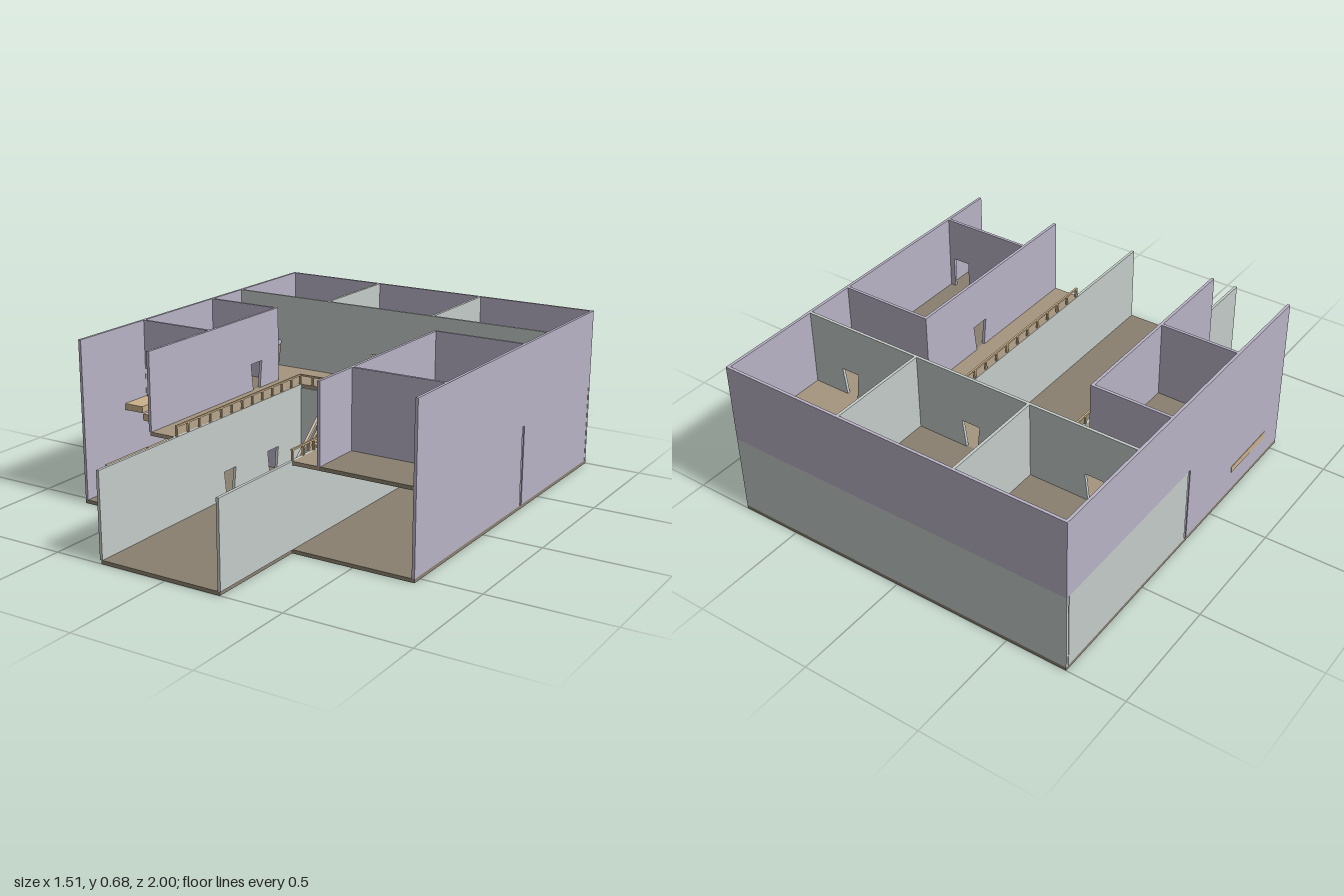
import * as THREE from 'three';

const mat = (color) => new THREE.MeshStandardMaterial({ color });
const T = 0.012; // wall thickness

export function createModel() {
  const root = new THREE.Group();
  const lilac = mat(0xb9b3c6), sage = mat(0xc4ccc9), dark = mat(0x89806f);
  const tan = mat(0xa5957f), wood = mat(0xc9b08a), pale = mat(0xd6c8b2);

  const group = (name) => {
    const g = new THREE.Group();
    g.name = name;
    root.add(g);
    return g;
  };

  // box given by its limits on each axis
  function box(parent, name, m, x0, x1, y0, y1, z0, z1) {
    const mesh = new THREE.Mesh(new THREE.BoxGeometry(x1 - x0, y1 - y0, z1 - z0), m);
    mesh.position.set((x0 + x1) / 2, (y0 + y1) / 2, (z0 + z1) / 2);
    mesh.name = name;
    parent.add(mesh);
  }

  // upright wall running along x or z; each door is [centre, bottom width, top width, height]
  function wall(parent, name, m, axis, pos, a, b, y0, y1, doors = []) {
    const s = new THREE.Shape();
    s.moveTo(a, y0);
    for (const [c, wb, wt, h] of [...doors].sort((p, q) => p[0] - q[0])) {
      s.lineTo(c - wb / 2, y0);
      s.lineTo(c - wt / 2, y0 + h);
      s.lineTo(c + wt / 2, y0 + h);
      s.lineTo(c + wb / 2, y0);
    }
    s.lineTo(b, y0);
    s.lineTo(b, y1);
    s.lineTo(a, y1);
    const g = new THREE.ExtrudeGeometry(s, { depth: T, bevelEnabled: false });
    g.translate(0, 0, -T / 2);
    if (axis === 'z') g.rotateY(-Math.PI / 2);
    g.translate(axis === 'z' ? pos : 0, 0, axis === 'x' ? pos : 0);
    const mesh = new THREE.Mesh(g, m);
    mesh.name = name;
    parent.add(mesh);
  }

  // square bar between two points in a plane of constant x
  function slopedBar(parent, name, m, x, y0, z0, y1, z1, w, h) {
    const mesh = new THREE.Mesh(new THREE.BoxGeometry(w, h, Math.hypot(y1 - y0, z1 - z0)), m);
    mesh.position.set(x, (y0 + y1) / 2, (z0 + z1) / 2);
    mesh.rotation.x = -Math.atan2(y1 - y0, z1 - z0);
    mesh.name = name;
    parent.add(mesh);
  }

  const F = 0.015, S = 0.345, U = 0.36, TOP = 0.68;
  const door = (c) => [c, 0.05, 0.08, 0.115];

  // ground floor slabs
  const ground = group('groundFloor');
  box(ground, 'mainFloor', dark, -0.755, 0.755, 0, F, -1, 0.545);
  box(ground, 'entranceFloor', dark, -0.29, 0.24, 0, F, 0.545, 1);

  // lower storey walls
  const lower = group('lowerWalls');
  wall(lower, 'backWall', sage, 'x', -0.994, -0.755, 0.755, F, S);
  wall(lower, 'leftOuterWallFront', lilac, 'z', 0.749, -0.322, 0.545, F, S);
  wall(lower, 'leftOuterWallBack', lilac, 'z', 0.749, -0.985, -0.34, F, S);
  wall(lower, 'rightOuterWallBack', sage, 'z', -0.749, -0.985, -0.2, F, S);
  wall(lower, 'rightOuterWallFront', lilac, 'z', -0.749, -0.185, 0.545, F, S);
  wall(lower, 'hallRightWall', sage, 'z', -0.29, -0.33, 1, F, U, [door(-0.11), door(0.2)]);
  wall(lower, 'hallLeftWall', sage, 'z', 0.237, -0.33, 1, F, U);
  wall(lower, 'hallBackWall', sage, 'x', -0.331, -0.29, 0.24, F, S, [door(-0.18), door(0.13)]);
  wall(lower, 'leftCrossWall', lilac, 'x', -0.331, 0.243, 0.752, F, S, [door(0.42)]);
  wall(lower, 'rightCrossWall', lilac, 'x', -0.193, -0.752, -0.29, F, S);
  wall(lower, 'closetSideWall', sage, 'z', 0.47, -0.99, -0.675, F, S);
  wall(lower, 'closetFrontWall', lilac, 'x', -0.675, 0.47, 0.745, F, S);

  // upper storey slabs
  const upperFloor = group('upperFloor');
  const slab = (name, m, x0, x1, z0, z1) => box(upperFloor, name, m, x0, x1, S, U, z0, z1);
  slab('backRoomsFloor', dark, -0.745, 0.225, -0.99, -0.55);
  slab('backLeftRoomFloor', tan, 0.225, 0.745, -0.99, -0.55);
  slab('landingFloor', tan, -0.745, 0.745, -0.55, -0.33);
  slab('rightWalkway', tan, -0.41, -0.285, -0.33, 0.545);
  slab('leftWalkway', tan, 0.232, 0.355, -0.33, 0.545);
  slab('rightRoomFloor', dark, -0.745, -0.41, -0.33, 0.15);
  slab('leftRoomFloor', dark, 0.355, 0.745, -0.33, 0.545);

  // upper storey walls
  const upper = group('upperWalls');
  wall(upper, 'backWall', lilac, 'x', -0.994, -0.755, 0.755, S, TOP);
  for (const s of [-1, 1]) wall(upper, 'outerWall', lilac, 'z', s * 0.749, -0.988, 0.545, S, TOP);
  wall(upper, 'landingBackWall', sage, 'x', -0.55, -0.743, 0.743, U, TOP,
    [door(-0.57), door(-0.025), door(0.56)]);
  for (const x of [-0.287, 0.225]) wall(upper, 'backRoomDivider', sage, 'z', x, -0.988, -0.556, U, TOP);
  wall(upper, 'rightRoomSideWall', lilac, 'z', -0.411, -0.336, 0.545, U, TOP, [door(-0.17)]);
  wall(upper, 'leftRoomSideWall', lilac, 'z', 0.355, -0.336, 0.545, U, TOP, [door(0)]);
  wall(upper, 'rightRoomBackWall', lilac, 'x', -0.33, -0.743, -0.417, U, TOP);
  wall(upper, 'leftRoomBackWall', lilac, 'x', -0.33, 0.361, 0.743, U, TOP);
  wall(upper, 'rightRoomFrontWall', lilac, 'x', 0.147, -0.743, -0.417, S, TOP, [[-0.7, 0.084, 0.084, 0.13]]);
  wall(upper, 'leftRoomDivider', lilac, 'x', 0.32, 0.361, 0.743, U, TOP, [[0.683, 0.075, 0.075, 0.135]]);

  // main open-tread staircase, rising from front to back
  const stairs = group('mainStaircase');
  const n = 12;
  for (let i = 0; i < n; i++) {
    const y = 0.03 + i * 0.0275, z = 0.02 - i * 0.0305;
    box(stairs, 'tread', wood, -0.098, 0.038, y, y + 0.014, z - 0.013, z + 0.013);
  }
  for (const x of [-0.102, 0.044]) {
    slopedBar(stairs, 'stringer', wood, x, 0.025, 0.035, 0.352, -0.325, 0.012, 0.022);
    slopedBar(stairs, 'handrail', pale, x, 0.085, 0.05, 0.405, -0.325, 0.013, 0.012);
    box(stairs, 'bottomPost', pale, x - 0.007, x + 0.007, F, 0.092, 0.042, 0.058);
    box(stairs, 'topPost', pale, x - 0.007, x + 0.007, U - 0.02, 0.415, -0.332, -0.318);
    for (let i = 1; i < 5; i++) {
      const z = 0.05 - i * 0.075, y = 0.03 + i * 0.064;
      box(stairs, 'baluster', pale, x - 0.004, x + 0.004, y, y + 0.055, z - 0.004, z + 0.004);
    }
  }

  // balustrade around the hall opening
  const railing = group('balustrade');
  const P = 0.004, RT = 0.404;
  for (const [a, b] of [[-0.29, -0.102], [0.044, 0.237]]) {
    box(railing, 'backRail', wood, a, b, RT - 0.007, RT, -0.336, -0.328);
    for (let i = 0; i <= 3; i++) {
      const x = a + ((b - a) * i) / 3;
      box(railing, 'backRailPost', wood, x - P, x + P, U, RT, -0.336, -0.328);
    }
  }
  for (const x of [-0.29, 0.237]) {
    box(railing, 'sideRail', wood, x - P, x + P, RT - 0.007, RT, -0.332, 0.54);
    for (let i = 0; i <= 12; i++) {
      const z = -0.332 + i * 0.0723;
      box(railing, 'sideRailPost', wood, x - P, x + P, U, RT, z - P, z + P);
    }
  }

  // switchback stairs in the right front corner: three flights in two lanes
  const back = group('switchbackStairs');
  const near = [0.29, 0.43], far = [0.155, 0.29];
  const flight = (x, y, dir, count, lane) => {
    for (let i = 0; i < count; i++) {
      const c = x + dir * i * 0.04, h = y + i * 0.028;
      box(back, 'step', wood, c - 0.024, c + 0.024, h, h + 0.028, lane[0], lane[1]);
    }
  };
  flight(-0.54, F, -1, 4, far);
  box(back, 'lowerLanding', wood, -0.757, -0.65, 0.103, 0.132, 0.155, 0.43);
  flight(-0.627, 0.13, 1, 3, near);
  box(back, 'upperLanding', wood, -0.527, -0.42, 0.215, 0.245, 0.155, 0.43);
  flight(-0.548, 0.243, -1, 3, far);
  box(back, 'topLanding', wood, -0.743, -0.655, 0.33, 0.357, 0.155, 0.29);

  return root;
}
